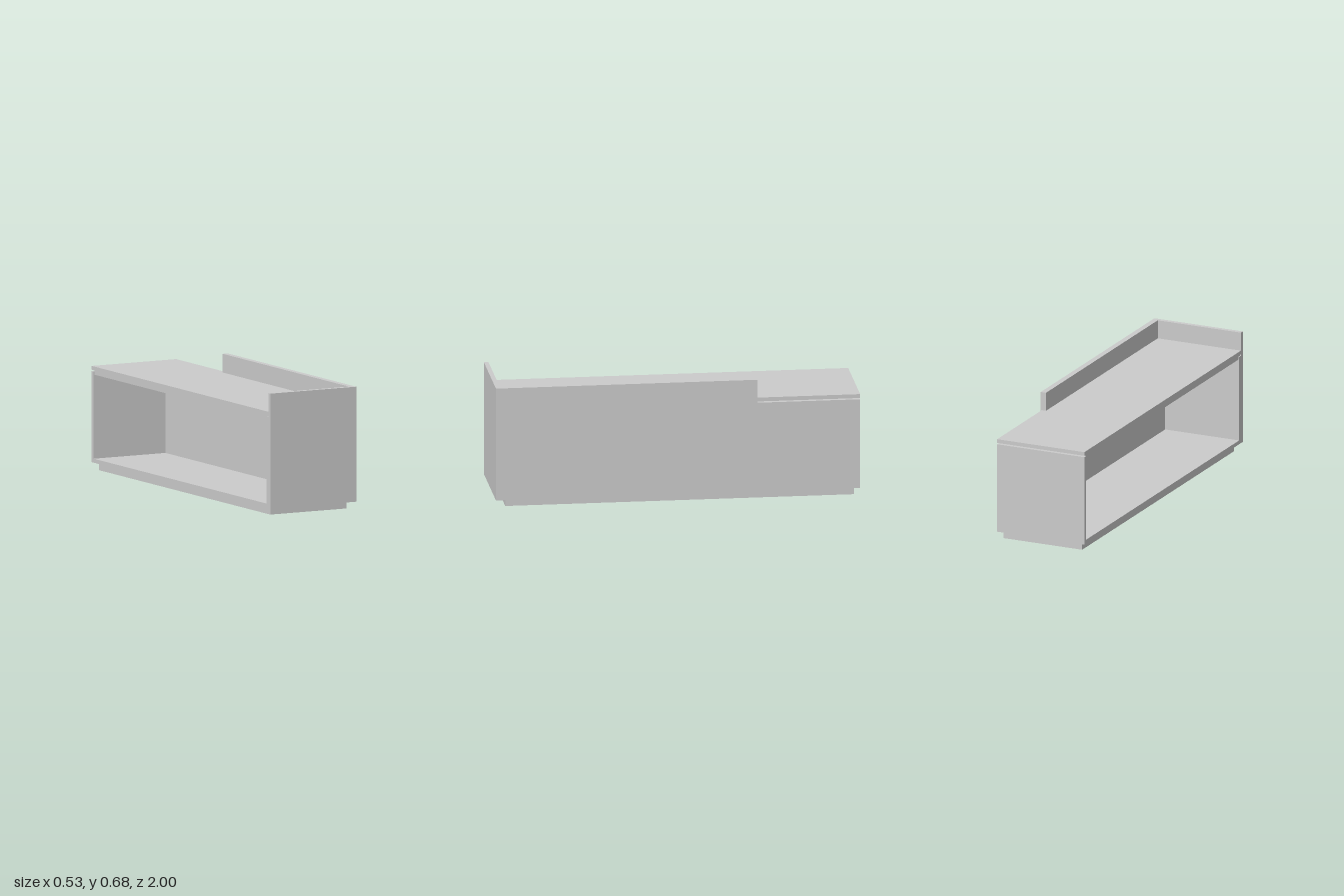
import * as THREE from 'three';

export function createModel() {
  const model = new THREE.Group();
  const material = new THREE.MeshStandardMaterial({ color: 0xcccccc });

  // Adds a board given its extents along each axis
  function board(name, [x0, x1], [y0, y1], [z0, z1]) {
    const mesh = new THREE.Mesh(new THREE.BoxGeometry(x1 - x0, y1 - y0, z1 - z0), material);
    mesh.position.set((x0 + x1) / 2, (y0 + y1) / 2, (z0 + z1) / 2);
    mesh.name = name;
    model.add(mesh);
  }

  const left = -0.267, right = 0.267, side = 0.26, clad = 0.235, inner = 0.18;
  const base = 0.042, carcassTop = 0.543, counterBottom = 0.551, counterTop = 0.572, top = 0.675;
  const step = -0.435, frontInner = 0.975, t = 0.022;

  // Recessed plinth
  board('plinth', [-0.239, 0.236], [0, base], [-0.97, 0.945]);

  // Open-sided carcass
  board('floorPanel', [left, inner], [base, base + t], [-1 + t, frontInner - t]);
  board('rearEndPanel', [left, side], [base, carcassTop], [-1, -1 + t]);
  board('frontEndPanel', [left, inner], [base, carcassTop], [frontInner - t, frontInner]);
  board('innerWall', [inner, clad], [base, carcassTop], [-1 + t, frontInner]);
  board('shortCladding', [clad, side], [base, carcassTop], [-1 + t, step]);

  // Sub-top leaves a shadow gap beneath the counter
  board('subTop', [left + 0.005, clad], [0.526, counterBottom], [-1 + t, frontInner]);

  // Counter, notched around the tall screen
  board('counterTop', [left, clad], [counterBottom, counterTop], [-1, frontInner]);
  board('counterTopRear', [clad, side], [counterBottom, counterTop], [-1, step]);

  // Tall screens rising above the counter
  board('sideScreen', [clad, right], [base, top], [step, 1]);
  board('frontScreen', [left, clad], [base, top], [frontInner, 1]);

  return model;
}
